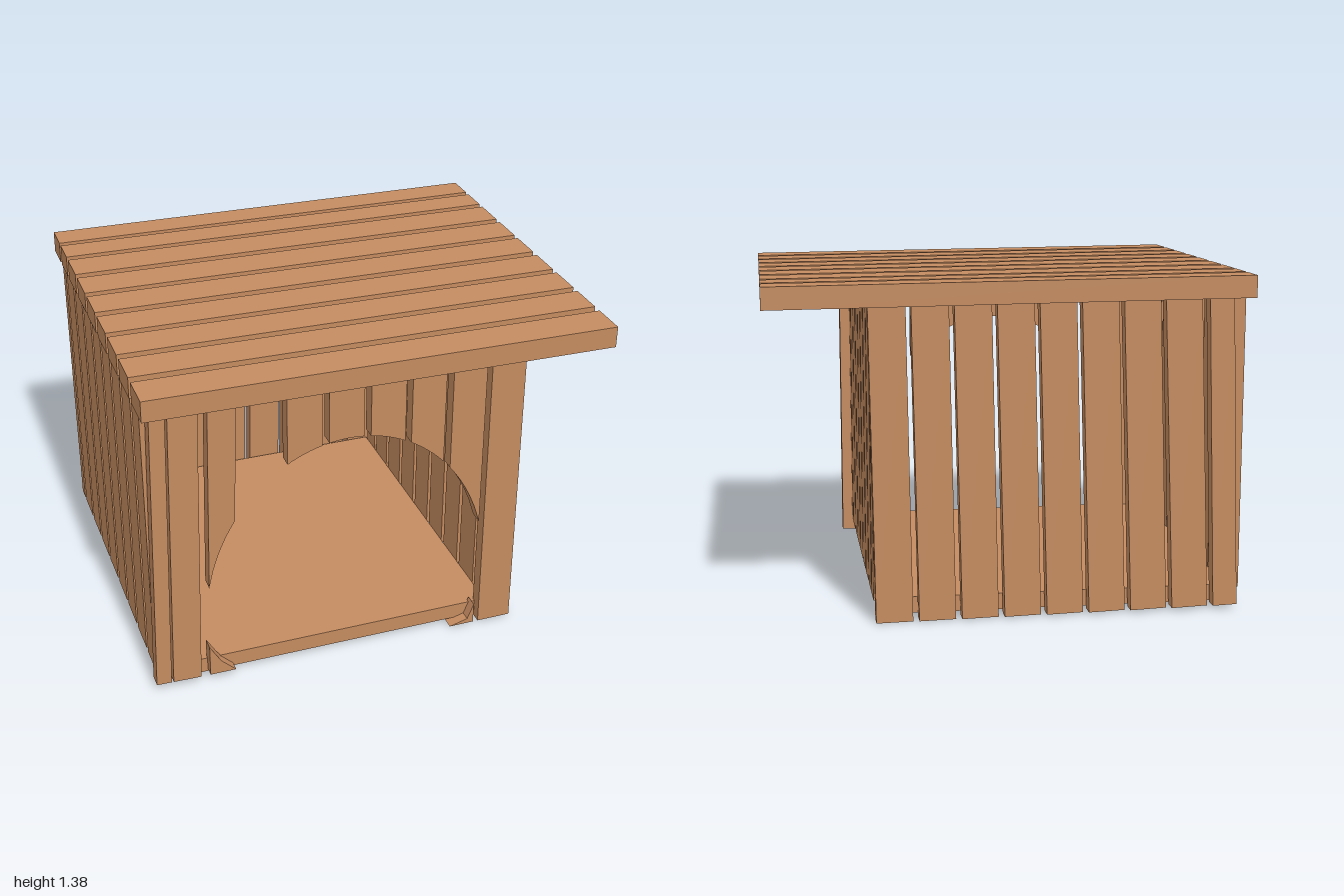
import * as THREE from 'three';

const wood = new THREE.MeshStandardMaterial({ color: 0xc48b60, flatShading: true });
const THICK = 0.058;
// underside of the tilted roof
const topAt = x => 1.276 - 0.01 * x;

export function createModel() {
  const root = new THREE.Group();
  root.name = 'woodenShelter';
  // the whole hut sits slightly askew
  const hut = new THREE.Group();
  hut.name = 'hut';
  hut.rotation.y = 0.035;
  root.add(hut);

  function group(name) {
    const g = new THREE.Group();
    g.name = name;
    hut.add(g);
    return g;
  }

  function board(parent, name, size, pos) {
    const m = new THREE.Mesh(new THREE.BoxGeometry(...size), wood);
    m.name = name;
    m.position.set(...pos);
    parent.add(m);
    return m;
  }

  // upright plank between y0 and the roof, leaning sideways
  function upright(parent, name, w, d, x, z, y0, lean = 0) {
    const top = topAt(x);
    board(parent, name, [w, top - y0, d], [x, (top + y0) / 2, z]).rotation.z = -lean;
  }

  // roof: nine planks running across, overhanging on the left
  const roof = group('roof');
  roof.position.y = 1.321;
  roof.rotation.z = -0.01;
  const roofZ = [-0.748, -0.592, -0.418, -0.225, -0.035, 0.159, 0.35, 0.543, 0.738];
  roofZ.forEach((z, i) =>
    board(roof, 'roofPlank', [1.95, 0.09, i < 2 ? 0.128 : 0.157], [0, 0, z]));

  // floor slab
  board(group('floor'), 'floorSlab', [1.43, 0.067, 1.45], [-0.22, 0.051, 0.018]);

  // back wall: planks fan out, leaning more towards the right end
  const back = group('backWall');
  for (let k = 0; k < 9; k++) {
    const w = k === 8 ? 0.1 : 0.148;
    const lean = k === 8 ? 0.034 : 0.016 + 0.0033 * k;
    const x = 0.547 - 0.173 * k - w / 2 + lean * 0.6;
    upright(back, 'backPlank', w, THICK, x, -0.745, 0.006 - 0.01 * x, lean);
  }

  // side walls: plank edges listed from front to back
  const sides = [
    ['leftWall', 0.523, [0.72, 0.632, 0.457, 0.283, 0.11, -0.065, -0.24, -0.41, -0.575, -0.7]],
    ['rightWall', -0.936, [0.735, 0.59, 0.415, 0.24, 0.065, -0.11, -0.285, -0.46, -0.63, -0.715]],
  ];
  for (const [name, x, edges] of sides) {
    const wall = group(name);
    for (let i = 0; i < 9; i++) {
      const w = edges[i] - edges[i + 1] - 0.026;
      upright(wall, name + 'Plank', 0.056, w, x, (edges[i] + edges[i + 1]) / 2, 0.07);
    }
  }

  // front wall: uncut planks
  const front = group('frontWall');
  const FZ = 0.757;
  upright(front, 'frontPlank', 0.062, THICK, -0.927, FZ, 0.035, 0.025);
  upright(front, 'frontPlank', 0.117, THICK, -0.829, FZ, 0.032, 0.025);
  upright(front, 'frontPlank', 0.146, THICK, 0.523, FZ, 0.008);

  // front wall: planks cut by the round doorway
  function cutPiece(points) {
    const shape = new THREE.Shape(points.map(p => new THREE.Vector2(...p)));
    const geo = new THREE.ExtrudeGeometry(shape, { depth: THICK, bevelEnabled: false });
    const m = new THREE.Mesh(geo, wood);
    m.name = 'doorwayPlank';
    m.position.z = FZ - THICK / 2;
    front.add(m);
  }
  const archY = x => 0.3 + 0.745 * Math.sqrt(1 - ((x + 0.148) / 0.605) ** 2);
  // each: left edge, right edge, sideways shift of the top end
  const cuts = [
    [-0.738, -0.624, 0.02], [-0.405, -0.262, 0], [-0.233, -0.088, 0],
    [-0.06, 0.086, 0], [0.112, 0.255, 0], [0.285, 0.428, 0],
  ];
  for (const [x0, x1, shift] of cuts) {
    const points = [[x0 + shift, topAt(x0)], [x1 + shift, topAt(x1)]];
    for (let i = 0; i <= 6; i++) {
      const x = x1 + (x0 - x1) * i / 6;
      points.push([x, archY(x)]);
    }
    cutPiece(points);
  }
  // remnants below the doorway at both corners
  cutPiece([[-0.747, 0.03], [-0.638, 0.03], [-0.7, 0.09], [-0.747, 0.17]]);
  cutPiece([[0.32, 0.008], [0.428, 0.008], [0.428, 0.1], [0.4, 0.03]]);

  return root;
}
